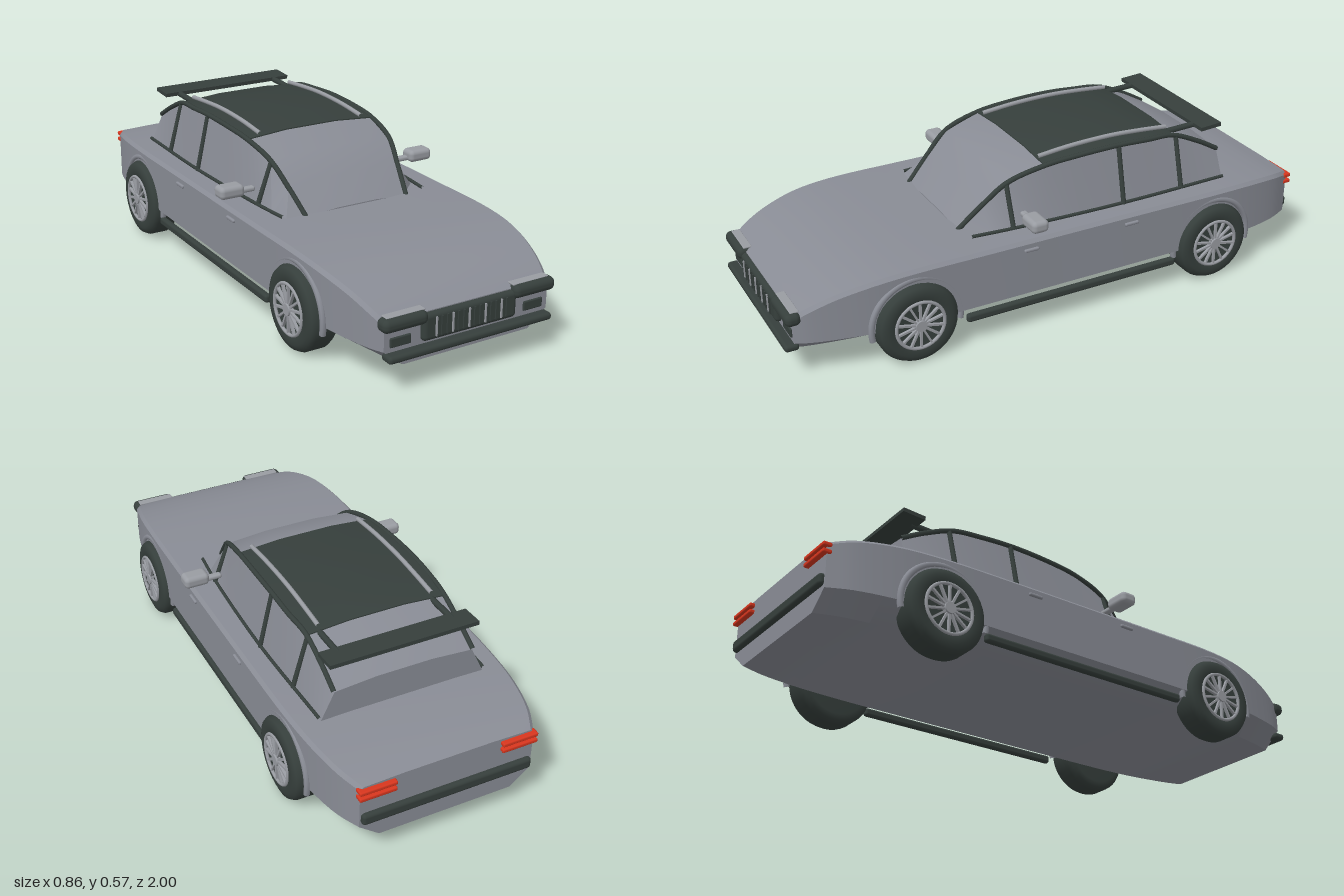
import * as THREE from 'three';
import { toCreasedNormals } from 'three/addons/utils/BufferGeometryUtils.js';
import { RoundedBoxGeometry } from 'three/addons/geometries/RoundedBoxGeometry.js';

const mat = (name, hex) => {
  const m = new THREE.MeshStandardMaterial({ color: hex });
  m.name = name;
  return m;
};

// Skin closed rings (counter-clockwise seen from the front) ordered back to front, with end caps
function loft(rings, crease = 0.6) {
  const n = rings[0].length, pos = rings.flat(2), idx = [];
  for (let k = 0; k < rings.length - 1; k++) {
    for (let j = 0; j < n; j++) {
      const a = k * n + j, b = k * n + (j + 1) % n;
      idx.push(a, b, b + n, a, b + n, a + n);
    }
  }
  const last = (rings.length - 1) * n;
  for (let j = 1; j < n - 1; j++) idx.push(0, j + 1, j, last, last + j, last + j + 1);
  const g = new THREE.BufferGeometry();
  g.setAttribute('position', new THREE.Float32BufferAttribute(pos, 3));
  g.setIndex(idx);
  return toCreasedNormals(g, crease);
}

// Cabin stations: z, half width at the base, half width at the roof edge, roof edge height
const CABIN = [
  [-0.69, 0.3, 0.25, 0.437], [-0.6, 0.302, 0.25, 0.487], [-0.49, 0.305, 0.252, 0.533],
  [-0.38, 0.308, 0.26, 0.542], [-0.26, 0.31, 0.262, 0.548], [-0.1, 0.307, 0.26, 0.544],
  [0.03, 0.303, 0.254, 0.532], [0.165, 0.295, 0.24, 0.493], [0.25, 0.288, 0.22, 0.42], [0.335, 0.28, 0.2, 0.336],
];
function cabinAt(z) {
  let i = 0;
  while (i < CABIN.length - 2 && CABIN[i + 1][0] < z) i++;
  const a = CABIN[i], b = CABIN[i + 1], t = (z - a[0]) / (b[0] - a[0]);
  return a.map((v, k) => v + (b[k] - v) * t);
}

export function createModel() {
  const car = new THREE.Group();
  car.name = 'car';
  const paint = mat('body grey', 0x898c95);
  const dark = mat('dark trim', 0x363f3c);
  const silver = mat('light grey trim', 0x999ca2);
  const red = mat('tail light red', 0xd8361e);

  const add = (name, geo, m, x = 0, y = 0, z = 0, parent = car) => {
    const mesh = new THREE.Mesh(geo, m);
    mesh.name = name;
    mesh.position.set(x, y, z);
    parent.add(mesh);
    return mesh;
  };
  const rbox = (w, h, d, r) => new RoundedBoxGeometry(w, h, d, 3, r);
  const tube = (pts, r, seg = 24) => new THREE.TubeGeometry(
    new THREE.CatmullRomCurve3(pts.map(p => new THREE.Vector3(...p))), seg, r, 8, false);

  // Body shell: half width, top height and z, smoothed along the length
  const stations = [
    [0.31, 0.3, -0.98], [0.345, 0.318, -0.9], [0.372, 0.332, -0.77], [0.385, 0.338, -0.6], [0.388, 0.34, -0.3],
    [0.388, 0.34, 0], [0.388, 0.34, 0.3], [0.385, 0.338, 0.58], [0.375, 0.325, 0.72],
    [0.352, 0.296, 0.84], [0.33, 0.262, 0.92], [0.31, 0.235, 0.965],
  ].map(s => new THREE.Vector3(...s));
  const bodyRings = new THREE.CatmullRomCurve3(stations).getPoints(44).map(({ x: w, y: t, z }) => [
    [0.77 * w, 0.083, z], [w, 0.14, z], [w, t - 0.012, z], [w - 0.012, t, z], [0.5 * w, t + 0.004, z],
    [-0.5 * w, t + 0.004, z], [-w + 0.012, t, z], [-w, t - 0.012, z], [-w, 0.14, z], [-0.77 * w, 0.083, z],
  ]);
  add('body', loft(bodyRings), paint);

  // Cabin and dark roof panel
  add('cabin', loft(CABIN.map(([z, b, r, y]) => [
    [b, 0.33, z], [r, y, z], [0.4 * r, y + 0.012, z], [-0.4 * r, y + 0.012, z], [-r, y, z], [-b, 0.33, z],
  ])), paint);
  add('roofPanel', loft([-0.5, -0.49, -0.38, -0.26, -0.1, 0.03].map(cabinAt).map(([z, , r, y]) => [
    [r, y, z], [r, y + 0.004, z], [0.4 * r, y + 0.016, z],
    [-0.4 * r, y + 0.016, z], [-r, y + 0.004, z], [-r, y, z],
  ])), dark);

  // Grille and its vertical bars
  add('grille', rbox(0.356, 0.092, 0.05, 0.016), dark, 0, 0.19, 0.958);
  for (let i = 0; i < 14; i++) {
    add('grilleBar', new THREE.BoxGeometry(0.005, 0.064, 0.006), i % 3 ? dark : silver, (i - 6.5) * 0.0205, 0.191, 0.985);
  }

  // Bumpers
  add('frontBumper', rbox(0.62, 0.025, 0.05, 0.011), dark, 0, 0.122, 0.974);
  add('rearBumper', rbox(0.61, 0.042, 0.03, 0.012), dark, 0, 0.172, -0.982);

  // Rear wing
  add('wing', new THREE.BoxGeometry(0.535, 0.014, 0.085), dark, 0, 0.537, -0.65).rotation.x = 0.06;

  // Parts shared by both sides
  for (const s of [-1, 1]) {
    const side = s > 0 ? 'left' : 'right';
    const put = (name, geo, m, x = 0, y = 0, z = 0) => add(side + name, geo, m, s * x, y, z);

    // Window frame
    put('RoofEdge', tube(CABIN.map(([z, , r, y]) => [s * (r + 0.002), y + 0.001, z]), 0.009, 50), dark);
    put('WindowSill', tube([-0.69, -0.26, 0.165, 0.32].map(z => [s * (cabinAt(z)[1] + 0.001), 0.347, z]), 0.006), dark);
    for (const z of [-0.505, -0.26, 0.168]) {
      const [, b, r, y] = cabinAt(z);
      put('Pillar', tube([[s * (b + 0.001), 0.342, z], [s * (r + 0.001), y, z]], 0.009, 1), dark);
    }

    // Roof rail and wing strut
    put('RoofRail', tube([0.03, -0.1, -0.26, -0.38, -0.49].map(z =>
      [s * 0.208, cabinAt(z)[3] + 0.016, z]), 0.008), silver);
    put('WingStrut', tube([[s * 0.207, 0.528, -0.49], [s * 0.207, 0.533, -0.63]], 0.011, 1), dark);

    // Mirror
    put('Mirror', rbox(0.092, 0.044, 0.062, 0.016), silver, 0.385, 0.403, 0.135);
    put('MirrorStalk', rbox(0.06, 0.018, 0.025, 0.008), silver, 0.318, 0.394, 0.13);

    // Door handles and side sill
    for (const z of [0.15, -0.245]) put('DoorHandle', rbox(0.012, 0.012, 0.055, 0.005), paint, 0.39, 0.306, z);
    put('SideSill', rbox(0.024, 0.03, 0.83, 0.01), dark, 0.379, 0.101, -0.025);

    // Headlight with a slim lid, and fog light
    put('Headlight', rbox(0.163, 0.045, 0.055, 0.02), dark, 0.244, 0.229, 0.965);
    put('HeadlightLid', rbox(0.14, 0.006, 0.03, 0.0025), silver, 0.237, 0.251, 0.957);
    put('FogLight', rbox(0.075, 0.032, 0.02, 0.004), dark, 0.252, 0.166, 0.961);

    // Twin tail light strips
    for (const y of [0.287, 0.263]) put('TailLight', rbox(0.13, 0.015, 0.032, 0.005), red, 0.253, y, -0.981);

    for (const [end, z] of [['Front', 0.57], ['Rear', -0.595]]) {
      // Wheel arch lip
      const arch = new THREE.TorusGeometry(0.16, 0.011, 8, 36, Math.PI + 0.4);
      put(end + 'Arch', arch.rotateZ(-0.2).rotateY(Math.PI / 2), paint, 0.377, 0.145, z);

      // Wheel: tyre, rim, spokes and hub
      const wheel = new THREE.Group();
      wheel.name = side + end + 'Wheel';
      wheel.position.set(s * 0.355, 0.145, z);
      if (s < 0) wheel.rotation.y = Math.PI;
      car.add(wheel);
      const profile = [[0, -0.055], [0.115, -0.055], [0.135, -0.048], [0.145, -0.03], [0.145, 0.03],
        [0.136, 0.047], [0.118, 0.054], [0.092, 0.054], [0.088, 0.046], [0, 0.046]];
      const tyre = new THREE.LatheGeometry(profile.map(p => new THREE.Vector2(...p)), 40);
      add('tyre', tyre.rotateZ(-Math.PI / 2), dark, 0, 0, 0, wheel);
      add('rim', new THREE.TorusGeometry(0.086, 0.006, 8, 40).rotateY(Math.PI / 2), silver, 0.054, 0, 0, wheel);
      add('hub', new THREE.CylinderGeometry(0.02, 0.022, 0.018, 20).rotateZ(-Math.PI / 2), silver, 0.054, 0, 0, wheel);
      for (let i = 0; i < 14; i++) {
        const spoke = new THREE.BoxGeometry(0.01, 0.072, 0.007).translate(0, 0.05, 0);
        add('spoke', spoke, silver, 0.053, 0, 0, wheel).rotation.x = (i / 14) * Math.PI * 2;
      }
    }
  }
  return car;
}
